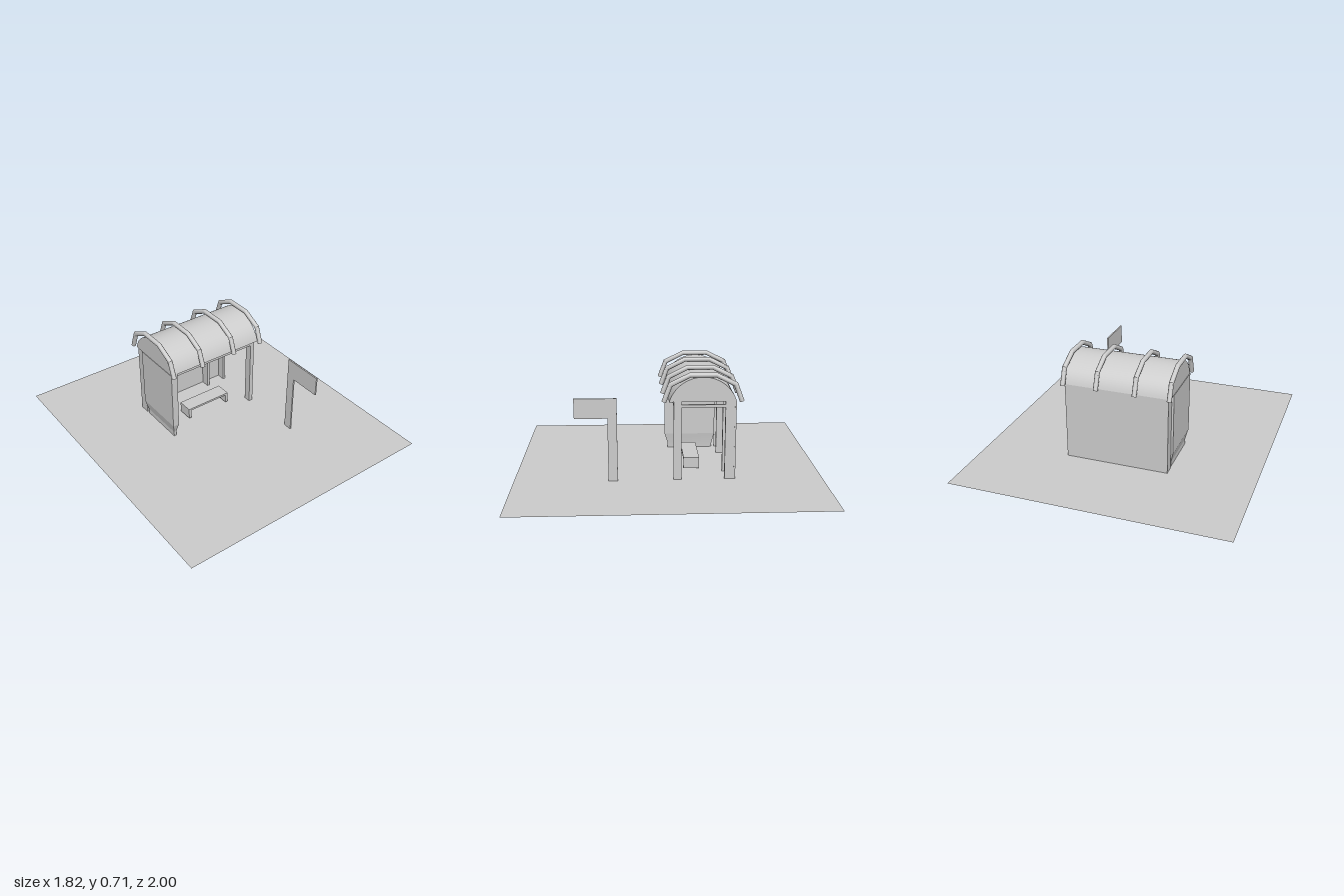
import * as THREE from 'three';
import { toCreasedNormals } from 'three/addons/utils/BufferGeometryUtils.js';

const mat = new THREE.MeshStandardMaterial({ color: 0xcccccc });
const thin = new THREE.MeshStandardMaterial({ color: 0xcccccc, side: THREE.DoubleSide });
const MID_Z = -0.215; // centre line of the shelter

// Box given by its extents on each axis
function box(name, [x0, x1], [y0, y1], [z0, z1]) {
  const mesh = new THREE.Mesh(new THREE.BoxGeometry(x1 - x0, y1 - y0, z1 - z0), mat);
  mesh.position.set((x0 + x1) / 2, (y0 + y1) / 2, (z0 + z1) / 2);
  mesh.name = name;
  return mesh;
}

// Box sections [y, x0, x1, z0, z1] stacked upwards, closed at both ends
function stack(sections) {
  const pos = [], idx = [], n = sections.length;
  for (const [y, x0, x1, z0, z1] of sections) pos.push(x0, y, z1, x1, y, z1, x1, y, z0, x0, y, z0);
  for (let i = 0; i < n - 1; i++) {
    for (let j = 0; j < 4; j++) {
      const a = i * 4 + j, b = i * 4 + (j + 1) % 4;
      idx.push(a, b, b + 4, a, b + 4, a + 4);
    }
  }
  const t = (n - 1) * 4;
  idx.push(0, 2, 1, 0, 3, 2, t, t + 1, t + 2, t, t + 2, t + 3);
  const geo = new THREE.BufferGeometry();
  geo.setAttribute('position', new THREE.Float32BufferAttribute(pos, 3));
  geo.setIndex(idx);
  return toCreasedNormals(geo, 0.1);
}

// Round bar along a bent path of [z, y] points, mitred at the bends
function mitredBar(path, r, sides) {
  const pts = path.map(([z, y]) => new THREE.Vector2(z, y));
  const pos = [], idx = [], last = pts.length - 1;
  pts.forEach((p, i) => {
    const d0 = pts[Math.max(i, 1)].clone().sub(pts[Math.max(i, 1) - 1]).normalize();
    const k = Math.min(i, last - 1);
    const d1 = pts[k + 1].clone().sub(pts[k]).normalize();
    const t = d0.clone().add(d1).normalize();
    const m = r / t.dot(d0);
    for (let j = 0; j < sides; j++) {
      const a = (j / sides) * Math.PI * 2;
      pos.push(r * Math.cos(a), p.y + t.x * m * Math.sin(a), p.x - t.y * m * Math.sin(a));
    }
  });
  for (let i = 0; i < last; i++) {
    for (let j = 0; j < sides; j++) {
      const a = i * sides + j, b = i * sides + (j + 1) % sides;
      idx.push(a, b, b + sides, a, b + sides, a + sides);
    }
  }
  for (let j = 1; j < sides - 1; j++) {
    const e = last * sides;
    idx.push(0, j + 1, j, e, e + j, e + j + 1);
  }
  const geo = new THREE.BufferGeometry();
  geo.setAttribute('position', new THREE.Float32BufferAttribute(pos, 3));
  geo.setIndex(idx);
  return toCreasedNormals(geo, 0.56);
}

export function createModel() {
  const model = new THREE.Group();
  model.name = 'busShelter';

  // Ground sheet
  const ground = new THREE.Mesh(new THREE.PlaneGeometry(1.82, 2).rotateX(-Math.PI / 2), thin);
  ground.name = 'ground';
  model.add(ground);

  // Back wall with deep uprights
  model.add(box('backWall', [-0.345, 0.345], [0, 0.52], [-0.43, -0.42]));
  for (const x of [-0.337, -0.192, 0.19, 0.335]) {
    model.add(box('backUpright', [x - 0.009, x + 0.009], [0, 0.52], [-0.43, -0.36]));
  }

  // Thick side panel, narrowing to a foot
  const panel = new THREE.Mesh(stack([
    [0, -0.343, -0.327, -0.34, -0.022],
    [0.035, -0.343, -0.325, -0.343, -0.022],
    [0.105, -0.36, -0.315, -0.36, 0],
    [0.52, -0.36, -0.315, -0.36, 0],
  ]), mat);
  panel.name = 'sidePanel';
  model.add(panel);

  // Front corner post and the beams under the roof
  model.add(box('frontPost', [0.315, 0.344], [0, 0.52], [-0.08, -0.03]));
  model.add(box('frontBeam', [-0.315, 0.315], [0.48, 0.52], [-0.08, -0.03]));
  model.add(box('sideBeam', [0.327, 0.344], [0.482, 0.5], [-0.36, -0.08]));

  // Bench
  const bench = new THREE.Group();
  bench.name = 'bench';
  bench.add(box('benchSeat', [-0.16, 0.175], [0.076, 0.09], [-0.21, -0.105]));
  for (const x of [-0.16, 0.156]) {
    bench.add(box('benchEnd', [x, x + 0.019], [0.015, 0.076], [-0.21, -0.105]));
  }
  model.add(bench);

  // Barrel roof: circular segment extruded along x
  const half = 0.215, rise = 0.16, base = 0.52;
  const radius = (half * half + rise * rise) / (2 * rise);
  const start = Math.asin((rise - radius) / radius * -1);
  const arc = new THREE.Shape();
  arc.absarc(0, base + rise - radius, radius, start, Math.PI - start, false);
  const roofGeo = new THREE.ExtrudeGeometry(arc, { depth: 0.705, bevelEnabled: false, curveSegments: 20 });
  roofGeo.rotateY(Math.PI / 2).translate(-0.357, 0, MID_Z);
  const roof = new THREE.Mesh(toCreasedNormals(roofGeo, 0.5), mat);
  roof.name = 'roof';
  model.add(roof);

  // Bent ribs over the roof
  const side = [[0.248, 0.522], [0.207, 0.632], [0.084, 0.693]];
  const path = [...side, ...side.map(([z, y]) => [-z, y]).reverse()];
  const ribGeo = mitredBar(path.map(([z, y]) => [z + MID_Z, y]), 0.0155, 14);
  for (const x of [-0.36, -0.134, 0.122, 0.345]) {
    const rib = new THREE.Mesh(ribGeo, mat);
    rib.name = 'roofRib';
    rib.position.x = x;
    model.add(rib);
  }

  // Flag sign standing in front
  const flag = new THREE.Shape([
    [-0.39, 0], [-0.33, 0], [-0.33, 0.55], [-0.6, 0.55], [-0.6, 0.42], [-0.39, 0.42],
  ].map(([u, v]) => new THREE.Vector2(u, v)));
  const signGeo = new THREE.ExtrudeGeometry(flag, { depth: 0.01, bevelEnabled: false });
  const sign = new THREE.Mesh(signGeo.rotateY(Math.PI / 2), mat);
  sign.position.x = 0.346;
  sign.name = 'stopSign';
  model.add(sign);

  return model;
}
